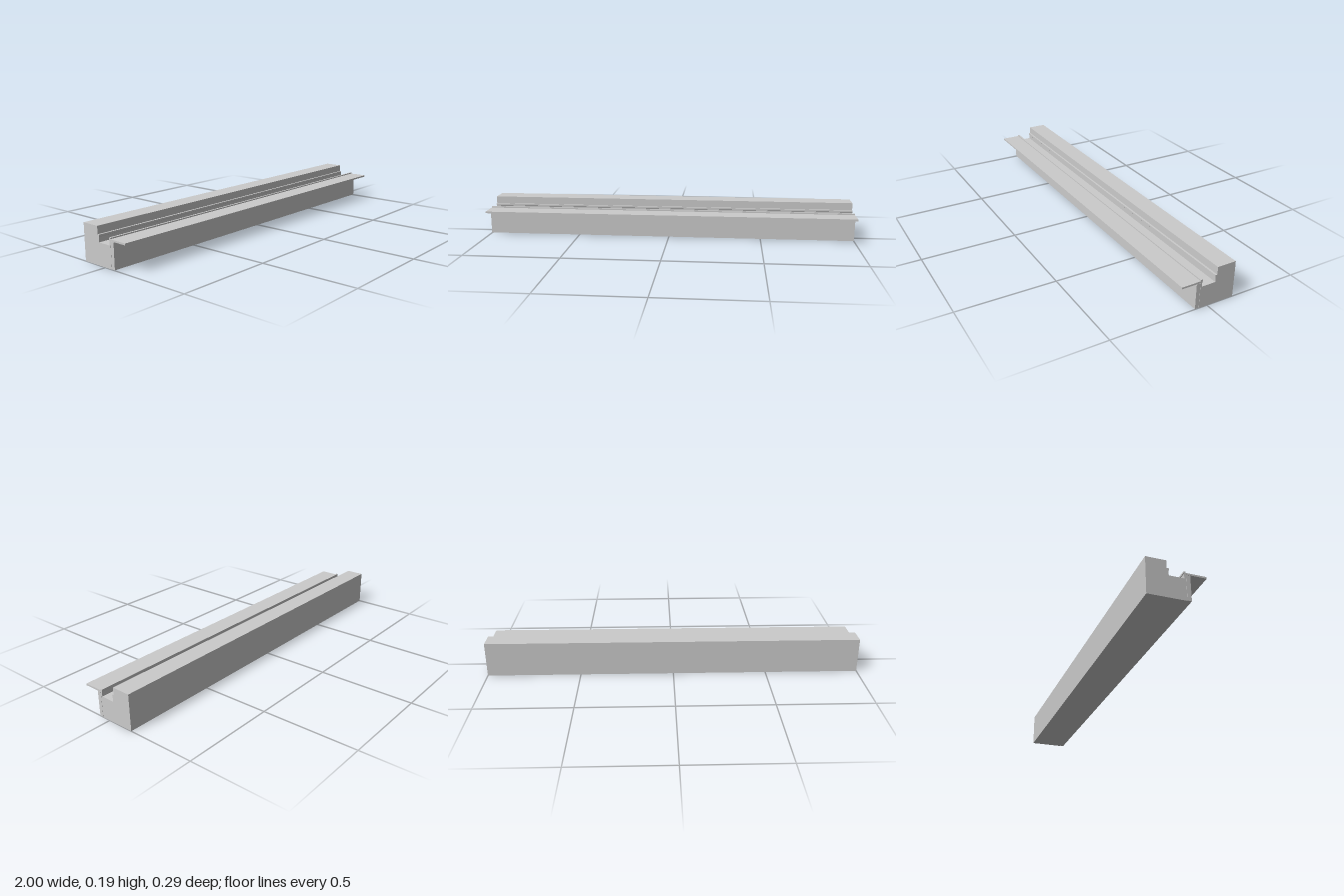
import * as THREE from 'three';

const LENGTH = 2;

// Extrudes a [z, y] cross-section along the whole length in x
function beam(name, points, material) {
  const shape = new THREE.Shape(points.map(([z, y]) => new THREE.Vector2(-z, y)));
  const geometry = new THREE.ExtrudeGeometry(shape, { depth: LENGTH, bevelEnabled: false });
  geometry.translate(0, 0, -LENGTH / 2);
  geometry.rotateY(Math.PI / 2);
  const mesh = new THREE.Mesh(geometry, material);
  mesh.name = name;
  return mesh;
}

export function createModel() {
  const group = new THREE.Group();
  group.name = 'channelBeam';
  const grey = new THREE.MeshStandardMaterial({ color: 0xcccccc, flatShading: true });

  // Main block: tall back, sunken channel with a small lip on both sides
  group.add(beam('channelBlock', [
    [0.045, 0], [0.045, 0.147], [0.035, 0.147], [0.035, 0.138], [0.037, 0.136],
    [0.037, 0.111], [-0.036, 0.111], [-0.036, 0.136], [-0.034, 0.138],
    [-0.034, 0.147], [-0.044, 0.147], [-0.044, 0.186], [-0.143, 0.186], [-0.143, 0],
  ], grey));

  // Upright panel against the front of the block
  group.add(beam('frontPanel', [
    [0.046, 0.002], [0.066, 0.002], [0.066, 0.131], [0.046, 0.131],
  ], grey));

  // Thin ledge overhanging the panel
  group.add(beam('ledge', [
    [0.045, 0.132], [0.145, 0.132], [0.145, 0.141], [0.045, 0.141],
  ], grey));

  return group;
}
